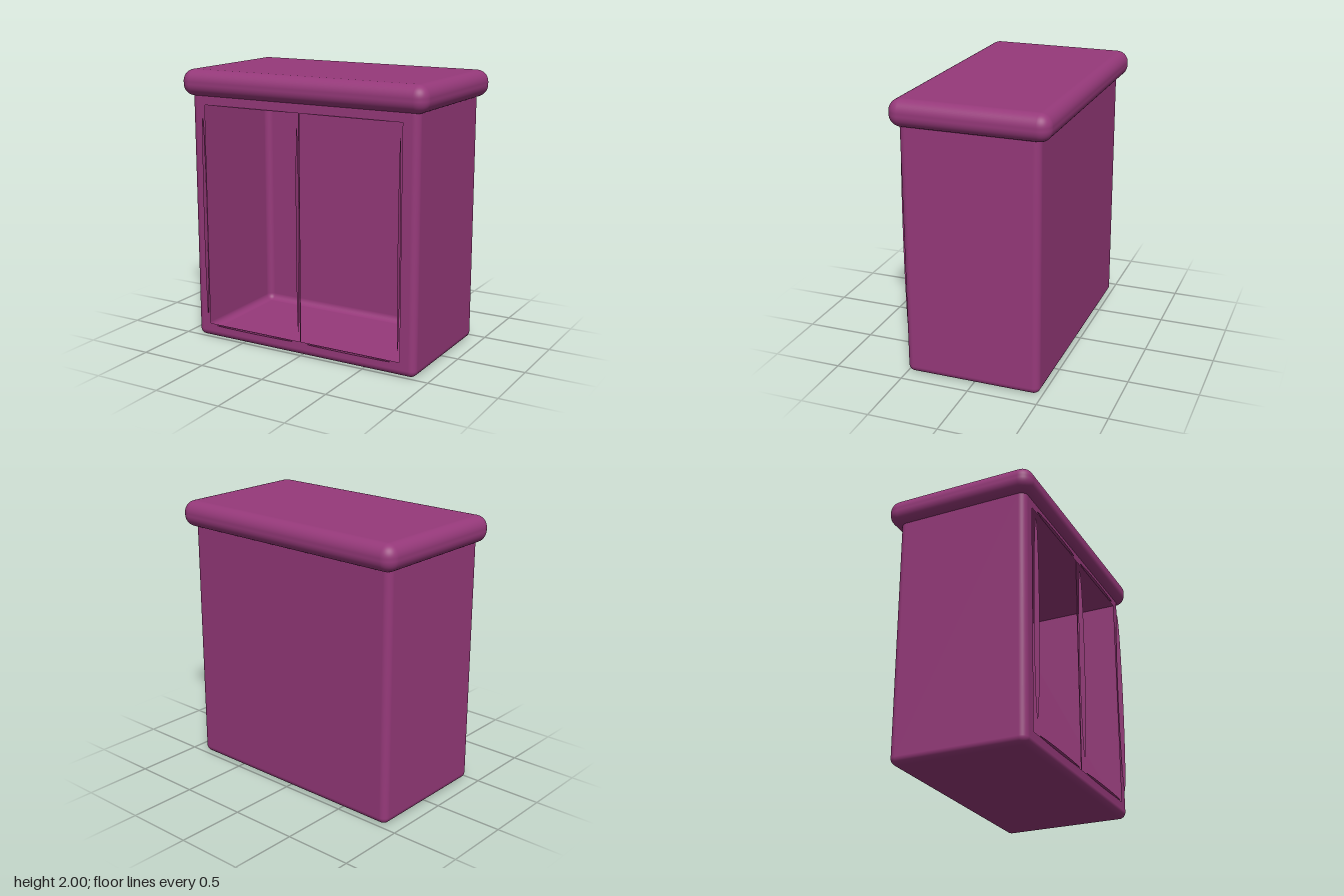
import * as THREE from 'three';
import { RoundedBoxGeometry } from 'three/addons/geometries/RoundedBoxGeometry.js';

const STEPS = 6; // segments per rounded quarter
const CASE = { w: 1.8, h: 1.85, d: 0.98, r: 0.05 };
const OPENING = { w: 1.57, h: 1.64 };

// Thin-walled rounded box without its flat front panel
function shellGeometry() {
  const { w, h, d, r } = CASE;
  const box = new RoundedBoxGeometry(w, h, d, STEPS, r);
  const position = box.attributes.position, normal = box.attributes.normal;
  const positions = [], normals = [];
  for (let i = 0; i < position.count; i += 3) {
    const corners = [i, i + 1, i + 2];
    if (corners.every((k) => position.getZ(k) > d / 2 - 1e-4)) continue;
    for (const k of corners) {
      positions.push(position.getX(k), position.getY(k), position.getZ(k));
      normals.push(normal.getX(k), normal.getY(k), normal.getZ(k));
    }
  }
  const geometry = new THREE.BufferGeometry();
  geometry.setAttribute('position', new THREE.Float32BufferAttribute(positions, 3));
  geometry.setAttribute('normal', new THREE.Float32BufferAttribute(normals, 3));
  return geometry;
}

function rectangle(target, w, h) {
  target.moveTo(-w / 2, -h / 2).lineTo(w / 2, -h / 2).lineTo(w / 2, h / 2).lineTo(-w / 2, h / 2).closePath();
  return target;
}

// Flat front frame around the opening
function frameGeometry() {
  const shape = rectangle(new THREE.Shape(), CASE.w - 2 * CASE.r, CASE.h - 2 * CASE.r);
  shape.holes.push(rectangle(new THREE.Path(), OPENING.w, OPENING.h));
  return new THREE.ShapeGeometry(shape);
}

export function createModel() {
  const group = new THREE.Group();
  const plum = new THREE.MeshStandardMaterial({ color: 0x96397a, side: THREE.DoubleSide });
  plum.name = 'plum';

  const add = (name, geometry, x, y, z) => {
    const mesh = new THREE.Mesh(geometry, plum);
    mesh.name = name;
    mesh.position.set(x, y, z);
    group.add(mesh);
  };

  add('case', shellGeometry(), 0, 0.93, 0.01);
  add('frontFrame', frameGeometry(), 0, 0.93, 0.5);
  add('lid', new RoundedBoxGeometry(1.93, 0.19, 1.115, STEPS, 0.085), 0, 1.905, 0);

  // Seam between the two doors
  add('doorSeam', new THREE.BoxGeometry(0.006, OPENING.h, 0.006), 0, 0.93, 0.5);

  // Thin bowed edges of the two door panels
  const edge = (halfLength) =>
    new THREE.CircleGeometry(1, 32).scale(0.02, halfLength, 1).rotateY(-Math.PI / 2);
  for (const x of [-0.785, 0, 0.785]) add('doorSideEdge', edge(0.735), x, 0.925, 0.528);
  for (const x of [-0.39, 0.39]) {
    for (const y of [0.105, 1.752]) {
      add('doorEndEdge', edge(0.33).rotateZ(Math.PI / 2).scale(1, 1, 0.6), x, y, 0.512);
    }
  }
  return group;
}
